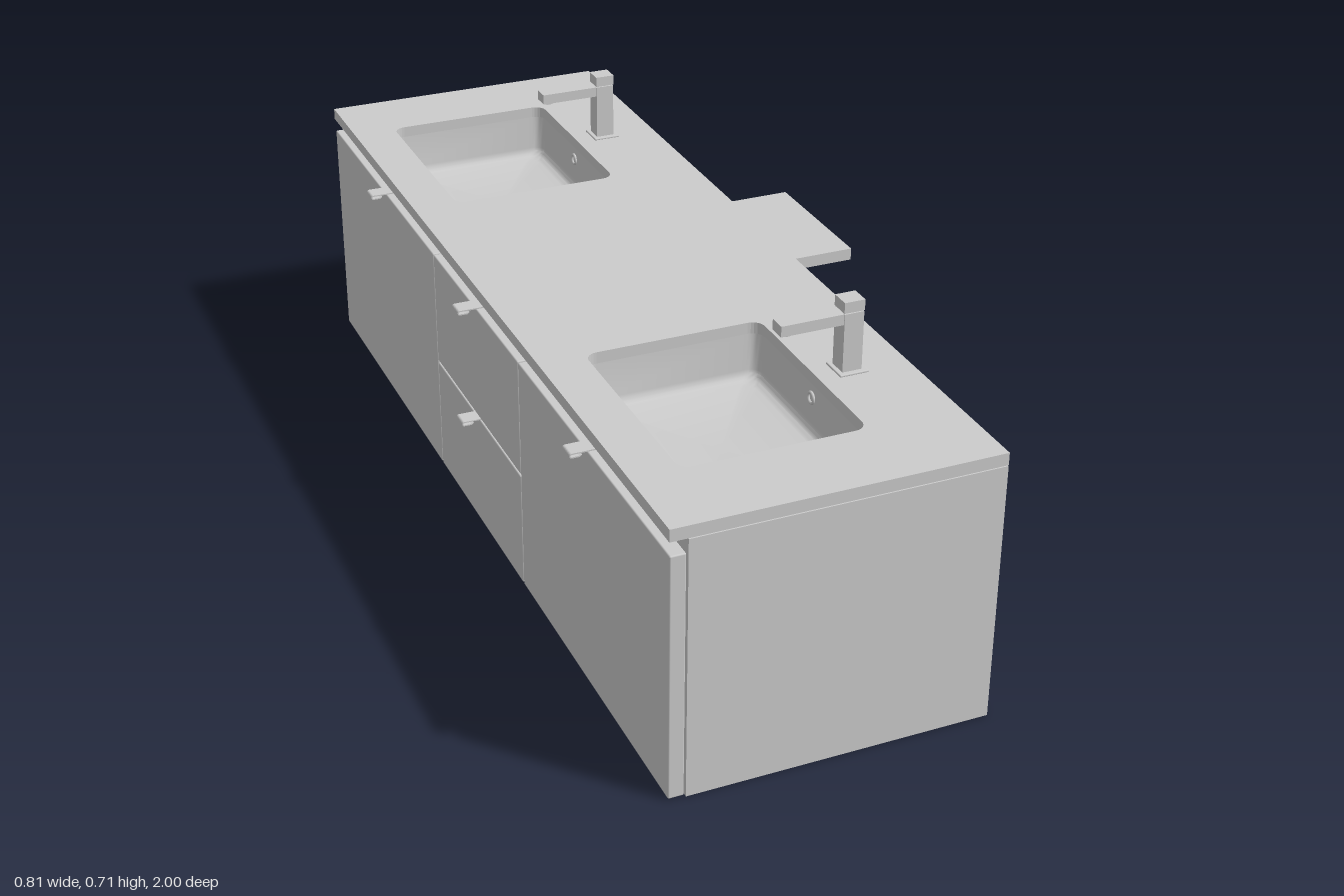
import * as THREE from 'three';
import { toCreasedNormals } from 'three/addons/utils/BufferGeometryUtils.js';
import { RoundedBoxGeometry } from 'three/addons/geometries/RoundedBoxGeometry.js';

const grey = new THREE.MeshStandardMaterial({ color: 0xcccccc });
const greyThin = new THREE.MeshStandardMaterial({ color: 0xcccccc, side: THREE.DoubleSide });

const BASIN = { x: -0.0925, z: 0.602, w: 0.365, d: 0.452, r: 0.025 };

function add(parent, name, geometry, material = grey) {
  const mesh = new THREE.Mesh(geometry, material);
  mesh.name = name;
  parent.add(mesh);
  return mesh;
}

// Box given by its lower and upper limits on each axis
function box(parent, name, [x0, x1], [y0, y1], [z0, z1], radius = 0) {
  const size = [x1 - x0, y1 - y0, z1 - z0];
  const geometry = radius
    ? new RoundedBoxGeometry(...size, 2, radius)
    : new THREE.BoxGeometry(...size);
  const mesh = add(parent, name, geometry);
  mesh.position.set((x0 + x1) / 2, (y0 + y1) / 2, (z0 + z1) / 2);
  return mesh;
}

// Outline of a rounded rectangle around the origin
function roundedRect(w, d, r, steps = 6) {
  const points = [];
  for (let corner = 0; corner < 4; corner++) {
    const cx = (corner === 0 || corner === 3 ? 1 : -1) * (w / 2 - r);
    const cy = (corner < 2 ? 1 : -1) * (d / 2 - r);
    for (let i = 0; i <= steps; i++) {
      const a = (corner + i / steps) * Math.PI / 2;
      points.push(new THREE.Vector2(cx + r * Math.cos(a), cy + r * Math.sin(a)));
    }
  }
  return points;
}

// Bowl lofted through rounded rectangles, from the counter's underside to the floor
function basinGeometry() {
  const rings = [[0, 0.541], [0.004, 0.465]];
  for (let i = 1; i <= 5; i++) {
    const a = (i / 5) * Math.PI / 2;
    rings.push([0.004 + 0.022 * (1 - Math.cos(a)), 0.465 - 0.022 * Math.sin(a)]);
  }
  const positions = [];
  const index = [];
  let count = 0;
  for (const [inset, y] of rings) {
    const outline = roundedRect(BASIN.w - 2 * inset, BASIN.d - 2 * inset, BASIN.r);
    count = outline.length;
    for (const p of outline) positions.push(p.x, y, p.y);
  }
  for (let k = 0; k < rings.length - 1; k++) {
    for (let i = 0; i < count; i++) {
      const a = k * count + i;
      const b = k * count + (i + 1) % count;
      index.push(a, b, a + count, b, b + count, a + count);
    }
  }
  // Floor fan, slightly lower in the middle
  const last = (rings.length - 1) * count;
  positions.push(0, 0.44, 0);
  for (let i = 0; i < count; i++) {
    index.push(last + i, last + (i + 1) % count, rings.length * count);
  }
  const geometry = new THREE.BufferGeometry();
  geometry.setAttribute('position', new THREE.Float32BufferAttribute(positions, 3));
  geometry.setIndex(index);
  geometry.computeVertexNormals();
  return toCreasedNormals(geometry, 0.6);
}

// Thin pull plate whose outer end folds under into a small hook
function handleGeometry(reach) {
  const s = new THREE.Shape();
  s.moveTo(reach, 0);
  s.lineTo(-0.023, 0);
  s.absarc(-0.023, -0.005, 0.005, Math.PI / 2, Math.PI * 1.5, false);
  s.lineTo(-0.008, -0.01);
  s.lineTo(-0.003, -0.006);
  s.lineTo(-0.009, -0.0075);
  s.lineTo(-0.023, -0.0075);
  s.absarc(-0.023, -0.005, 0.0025, Math.PI * 1.5, Math.PI / 2, true);
  s.lineTo(reach, -0.0025);
  const geometry = new THREE.ExtrudeGeometry(s, { depth: 0.036, bevelEnabled: false, curveSegments: 6 });
  geometry.translate(0, 0, -0.018);
  return geometry;
}

function addFaucet(parent, z) {
  const faucet = new THREE.Group();
  faucet.name = 'faucet';
  faucet.position.z = z;
  parent.add(faucet);
  box(faucet, 'faucetBase', [0.129, 0.189], [0.564, 0.569], [-0.03, 0.03], 0.002);
  box(faucet, 'faucetColumn', [0.138, 0.178], [0.568, 0.689], [-0.02, 0.02]);
  box(faucet, 'faucetSpout', [0.01, 0.139], [0.667, 0.689], [-0.018, 0.018]);
  box(faucet, 'faucetLever', [0.137, 0.179], [0.691, 0.713], [-0.02, 0.02]);
  box(faucet, 'faucetLeverNeck', [0.142, 0.174], [0.688, 0.692], [-0.016, 0.016]);
  const aerator = add(faucet, 'aerator', new THREE.CylinderGeometry(0.013, 0.013, 0.005, 20));
  aerator.position.set(0.028, 0.6655, 0);
}

export function createModel() {
  const model = new THREE.Group();
  model.name = 'doubleVanity';

  // Cabinet carcass, left hollow for the basins
  const cabinet = new THREE.Group();
  cabinet.name = 'cabinet';
  model.add(cabinet);
  const X = [-0.334, 0.277], Y = [0, 0.538], T = 0.02;
  box(cabinet, 'bottomPanel', X, [0, T], [-1, 1]);
  box(cabinet, 'backPanel', [X[1] - T, X[1]], [T, Y[1]], [-1, 1]);
  box(cabinet, 'frontPanel', [X[0], X[0] + T], [T, Y[1]], [-1, 1]);
  for (const side of [-1, 1]) {
    const z = [side, side * (1 - T)].sort((a, b) => a - b);
    box(cabinet, 'endPanel', [X[0] + T, X[1] - T], [T, Y[1]], z);
  }

  // Two doors with a pair of drawers between them
  const F = [-0.368, -0.337];
  box(model, 'door', F, [0.003, 0.511], [-0.999, -0.262], 0.003);
  box(model, 'door', F, [0.003, 0.511], [0.262, 0.999], 0.003);
  box(model, 'lowerDrawer', F, [0.003, 0.254], [-0.258, 0.258], 0.003);
  box(model, 'upperDrawer', F, [0.259, 0.511], [-0.258, 0.258], 0.003);

  // Pulls on the upper edges of the fronts
  for (const [x, y, z] of [[-0.375, 0.514, -0.61], [-0.375, 0.514, 0.61],
    [-0.379, 0.514, 0], [-0.379, 0.258, 0]]) {
    add(model, 'handle', handleGeometry(0.04)).position.set(x, y, z);
  }

  // Counter with basin cut-outs and a tab at the back
  const counter = new THREE.Shape([
    [-0.369, -1], [0.277, -1], [0.277, -0.155], [0.404, -0.155],
    [0.404, 0.155], [0.277, 0.155], [0.277, 1], [-0.369, 1],
  ].map(([x, y]) => new THREE.Vector2(x, y)));
  for (const side of [-1, 1]) {
    const outline = roundedRect(BASIN.w, BASIN.d, BASIN.r);
    outline.forEach((p) => p.add(new THREE.Vector2(BASIN.x, side * BASIN.z)));
    counter.holes.push(new THREE.Path(outline.reverse()));
  }
  const slab = new THREE.ExtrudeGeometry(counter, { depth: 0.025, bevelEnabled: false });
  slab.rotateX(-Math.PI / 2);
  add(model, 'counter', slab).position.y = 0.54;

  // Basins, overflow rings and faucets
  const bowl = basinGeometry();
  for (const side of [-1, 1]) {
    add(model, 'basin', bowl, greyThin).position.set(BASIN.x, 0, side * BASIN.z);
    const ring = add(model, 'overflowRing', new THREE.TorusGeometry(0.011, 0.003, 8, 24));
    ring.rotation.y = Math.PI / 2;
    ring.position.set(0.087, 0.515, side * 0.61);
    addFaucet(model, side * 0.613);
  }
  return model;
}
